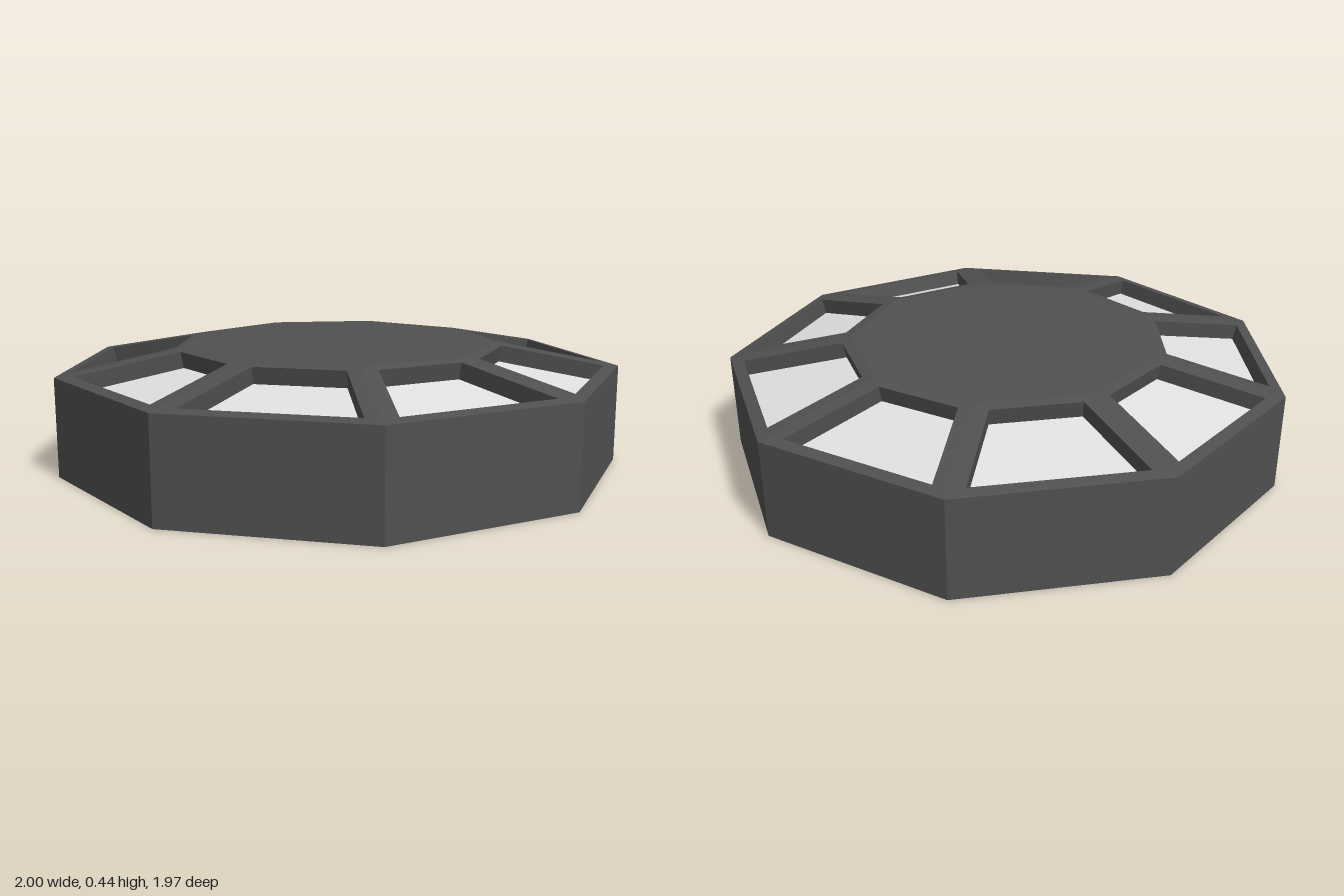
import * as THREE from 'three';

const SIDES = 9;
const HALF = Math.PI / SIDES;
const OUTER_R = 1.0154, INNER_R = 0.567; // rim and flat top corner radii
const RIM_Y = 0.35, TOP_Y = 0.435;
const OUTER_A = OUTER_R * Math.cos(HALF); // distances to the middle of a side
const INNER_A = INNER_R * Math.cos(HALF);
const DEPTH = 0.06; // window recess
const BAR = 0.05; // half width of the bars between windows

const slope = Math.atan2(TOP_Y - RIM_Y, OUTER_A - INNER_A);

// Trapezoid in the plane of a sloped side, between two distances from the axis
function trapezoid(Type, far, near, inset) {
  const point = (a, sign) => new THREE.Vector2(
    sign * (a * Math.tan(HALF) - inset / Math.cos(HALF)),
    (OUTER_A - a) / Math.cos(slope)
  );
  return new Type([point(far, -1), point(far, 1), point(near, 1), point(near, -1)]);
}

export function createModel() {
  const casing = new THREE.MeshStandardMaterial({ color: 0x505050 });
  casing.name = 'darkGreyCasing';
  const glass = new THREE.MeshStandardMaterial({ color: 0xe0e0e0 });
  glass.name = 'paleWindow';
  casing.flatShading = true;

  const model = new THREE.Group();
  model.name = 'nineSidedDisc';
  const add = (parent, geometry, material, name) => {
    const mesh = new THREE.Mesh(geometry, material);
    mesh.name = name;
    parent.add(mesh);
    return mesh;
  };

  // Upright outer wall, with a corner at the back
  const wall = new THREE.CylinderGeometry(OUTER_R, OUTER_R, RIM_Y, SIDES, 1, true, Math.PI);
  add(model, wall, casing, 'outerWall').position.y = RIM_Y / 2;

  // Flat top and underside
  const top = new THREE.CircleGeometry(INNER_R, SIDES, Math.PI / 2).rotateX(-Math.PI / 2);
  add(model, top, casing, 'topPlate').position.y = TOP_Y;
  const base = new THREE.CircleGeometry(OUTER_R, SIDES, -Math.PI / 2).rotateX(Math.PI / 2);
  add(model, base, casing, 'underside');

  // Sloped frame with one opening, and the recessed window behind it
  const frameShape = trapezoid(THREE.Shape, OUTER_A, INNER_A, 0);
  frameShape.holes.push(trapezoid(THREE.Path, 0.913, 0.571, BAR));
  const frame = new THREE.ExtrudeGeometry(frameShape, { depth: DEPTH, bevelEnabled: false });
  frame.translate(0, 0, -DEPTH);
  const pane = new THREE.ShapeGeometry(trapezoid(THREE.Shape, 0.92, 0.564, BAR - 0.007));
  pane.translate(0, 0, -DEPTH + 0.001);
  for (const g of [frame, pane]) {
    g.rotateX(slope - Math.PI / 2);
    g.translate(0, RIM_Y, OUTER_A);
  }

  for (let i = 0; i < SIDES; i++) {
    const side = new THREE.Group();
    side.name = `windowSection${i + 1}`;
    side.rotation.y = i * 2 * HALF;
    add(side, frame, casing, 'windowFrame');
    add(side, pane, glass, 'windowPane');
    model.add(side);
  }

  // Centre the uneven outline front to back
  for (const part of model.children) part.position.z = (OUTER_R - OUTER_A) / 2;
  return model;
}
